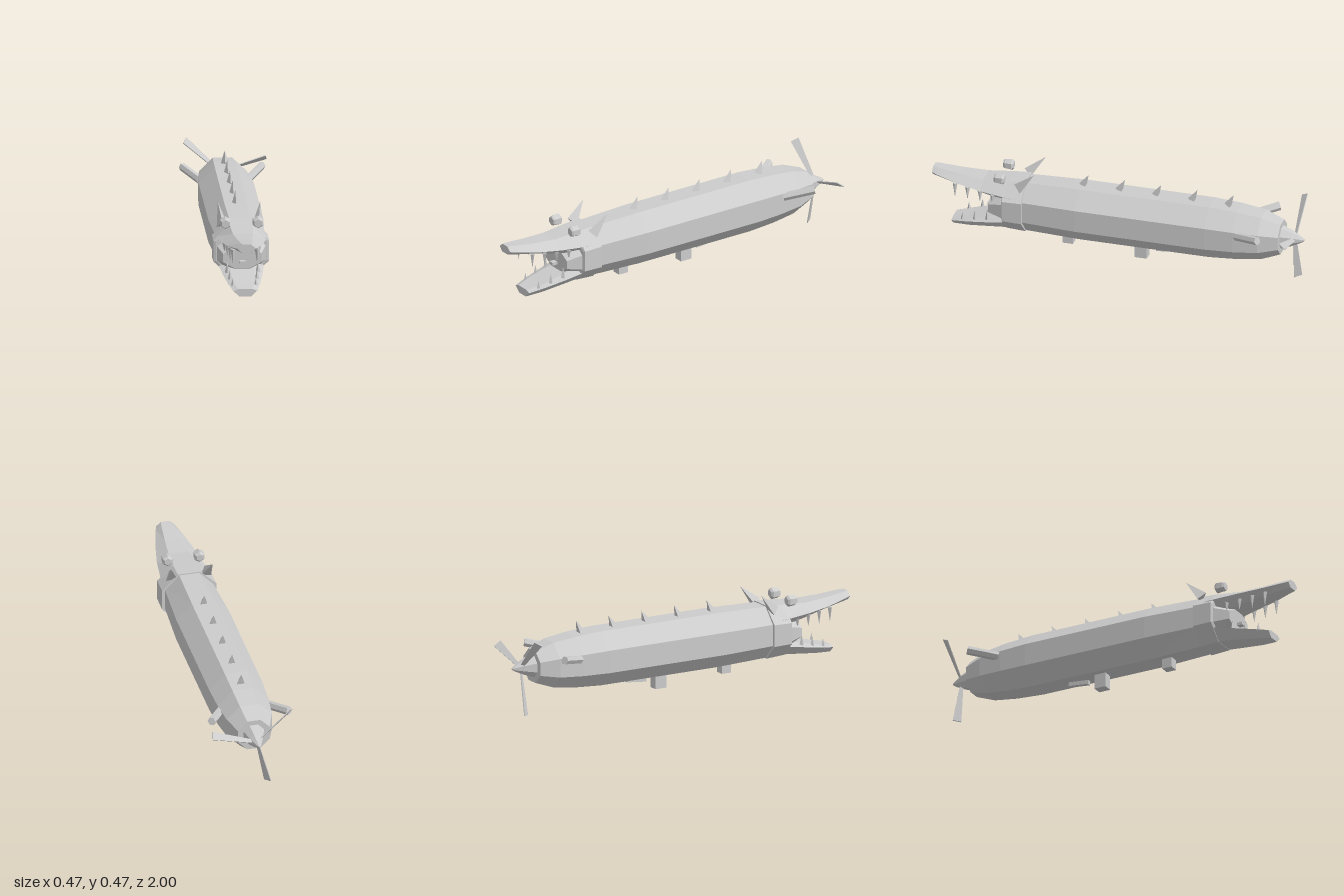
import * as THREE from 'three';

const V = (x, y, z) => new THREE.Vector3(x, y, z);

// Skin of equal-sized rings, listed front to back, each counter-clockwise from the front
function loft(rings) {
  const p = [];
  const tri = (...v) => v.forEach((q) => p.push(q.x, q.y, q.z));
  const n = rings[0].length;
  for (let i = 0; i < rings.length - 1; i++) {
    for (let j = 0; j < n; j++) {
      const k = (j + 1) % n;
      const [a, b, c, d] = [rings[i][j], rings[i][k], rings[i + 1][k], rings[i + 1][j]];
      tri(a, d, c);
      tri(a, c, b);
    }
  }
  const f = rings[0], e = rings[rings.length - 1];
  for (let j = 1; j < n - 1; j++) {
    tri(f[0], f[j], f[j + 1]);
    tri(e[0], e[j + 1], e[j]);
  }
  const g = new THREE.BufferGeometry();
  g.setAttribute('position', new THREE.Float32BufferAttribute(p, 3));
  g.computeVertexNormals();
  return g;
}

// Flat-topped octagon
const octagon = (z, w, h, cy = 0.245) => Array.from({ length: 8 }, (_, i) => {
  const a = (i + 0.5) * Math.PI / 4, s = 1 / Math.cos(Math.PI / 8);
  return V(Math.cos(a) * w * s, cy + Math.sin(a) * h * s, z);
});

// Six-sided jaw section: side, top and bottom half widths with their heights
const jawRing = ([z, w, yw, t, yt, b, yb]) => [
  V(w, yw, z), V(t, yt, z), V(-t, yt, z), V(-w, yw, z), V(-b, yb, z), V(b, yb, z),
];

export function createModel() {
  const model = new THREE.Group();
  const craft = new THREE.Group();
  craft.name = 'airship';
  craft.position.x = -0.017;
  model.add(craft);

  const grey = new THREE.MeshStandardMaterial({ color: 0xcccccc });
  grey.name = 'light grey';
  grey.flatShading = true;

  const add = (name, geo, parent = craft) => {
    const m = new THREE.Mesh(geo, grey);
    m.name = name;
    parent.add(m);
    return m;
  };
  // Prism or cone running between two points
  const rod = (name, from, to, r0, r1, sides, turn = 0) => {
    const dir = to.clone().sub(from);
    const m = add(name, new THREE.CylinderGeometry(r1, r0, dir.length(), sides, 1, false, turn));
    m.position.copy(from).lerp(to, 0.5);
    m.quaternion.setFromUnitVectors(V(0, 1, 0), dir.normalize());
    return m;
  };
  const box = (name, w, h, d, y, z, x = 0) => {
    const m = add(name, new THREE.BoxGeometry(w, h, d));
    m.position.set(x, y, z);
    return m;
  };

  // Hull
  add('hull', loft([
    octagon(0.5, 0.128, 0.137), octagon(0.2, 0.143, 0.145), octagon(-0.5, 0.143, 0.145),
    octagon(-0.65, 0.136, 0.136), octagon(-0.78, 0.121, 0.12), octagon(-0.88, 0.085, 0.085),
  ]));
  add('collar', loft([octagon(0.6, 0.132, 0.125), octagon(0.595, 0.145, 0.135), octagon(0.49, 0.145, 0.141)]));
  add('throat', loft([octagon(0.68, 0.1, 0.055, 0.23), octagon(0.59, 0.13, 0.1, 0.235)]));
  box('throatBarrel', 0.03, 0.015, 0.06, 0.21, 0.68);

  // Jaws
  add('upperJaw', loft([
    [1.0, 0.048, 0.368, 0.022, 0.39, 0.025, 0.345],
    [0.97, 0.058, 0.362, 0.028, 0.388, 0.03, 0.34],
    [0.85, 0.09, 0.343, 0.04, 0.376, 0.045, 0.32],
    [0.72, 0.115, 0.33, 0.052, 0.37, 0.058, 0.293],
    [0.58, 0.13, 0.32, 0.06, 0.382, 0.068, 0.265],
    [0.49, 0.132, 0.31, 0.06, 0.388, 0.068, 0.26],
  ].map(jawRing)));
  add('lowerJaw', loft([
    [0.89, 0.062, 0.11, 0.037, 0.12, 0.03, 0.08],
    [0.8, 0.085, 0.127, 0.06, 0.137, 0.045, 0.088],
    [0.68, 0.106, 0.15, 0.065, 0.165, 0.055, 0.103],
    [0.57, 0.12, 0.172, 0.065, 0.195, 0.06, 0.115],
    [0.5, 0.125, 0.18, 0.065, 0.2, 0.06, 0.107],
  ].map(jawRing)));

  for (const s of [1, -1]) {
    // Teeth
    for (let i = 0; i < 4; i++) {
      const x = s * (0.063 + i * 0.009), z = 0.87 - i * 0.07;
      rod('upperTooth', V(x, 0.33 - i * 0.008, z), V(x, 0.25, z), 0.013, 0, 4);
    }
    for (let i = 0; i < 3; i++) {
      const x = s * (0.06 + i * 0.01), z = 0.83 - i * 0.07;
      rod('lowerTooth', V(x, 0.115 + i * 0.02, z), V(x, 0.167 + i * 0.024, z), 0.013, 0, 4);
    }
    // Eyes and horns
    const eye = add('eye', loft([[0.65, 0.022], [0.64, 0.028], [0.605, 0.031], [0.595, 0.02]].map(([z, r]) =>
      Array.from({ length: 6 }, (_, i) => V(
        Math.sin(-i * Math.PI / 3) * r, Math.cos(i * Math.PI / 3) * r, z)))));
    eye.position.set(s * 0.085, 0.404, 0);
    rod('horn', V(s * 0.093, 0.365, 0.515), V(s * 0.11, 0.463, 0.43), 0.034, 0, 3);
    // Rear tubes
    const tube = rod('sideTube', V(s * 0.125, 0.278, -0.665), V(s * 0.207, 0.312, -0.805), 0.023, 0.023, 6);
    tube.scale.set(0.9, 1, 1);
  }

  // Back spikes
  for (let i = 0; i < 5; i++) {
    const z = 0.195 - i * 0.196;
    rod('backSpike', V(0, 0.385, z), V(0, 0.45, z - 0.028), 0.025, 0, 3);
  }

  // Cabins and boom under the hull
  box('frontCabin', 0.05, 0.07, 0.055, 0.083, 0.272);
  box('mainCabin', 0.052, 0.1, 0.065, 0.072, -0.122);
  const boom = box('bellyBoom', 0.022, 0.022, 0.115, 0.083, -0.257);
  boom.rotation.x = 0.1;

  // Tail cone and propeller
  add('tailCone', loft([
    octagon(-0.87, 0.058, 0.062), octagon(-0.94, 0.034, 0.036), octagon(-0.985, 0.014, 0.014, 0.243),
    octagon(-1.0, 0.004, 0.004, 0.243),
  ]));
  const propeller = new THREE.Group();
  propeller.name = 'propeller';
  propeller.position.set(0, 0.243, -0.948);
  craft.add(propeller);
  for (let i = 0; i < 3; i++) {
    const geo = new THREE.BoxGeometry(0.045, 0.25, 0.005);
    geo.translate(0, 0.125, 0);
    const p = geo.attributes.position;
    for (let j = 0; j < p.count; j++) if (p.getY(j) < 0.1) p.setX(j, p.getX(j) * 0.35);
    geo.rotateY(0.9);
    geo.computeVertexNormals();
    add('propellerBlade', geo, propeller).rotation.z = THREE.MathUtils.degToRad(47 + i * 120);
  }
  return model;
}
